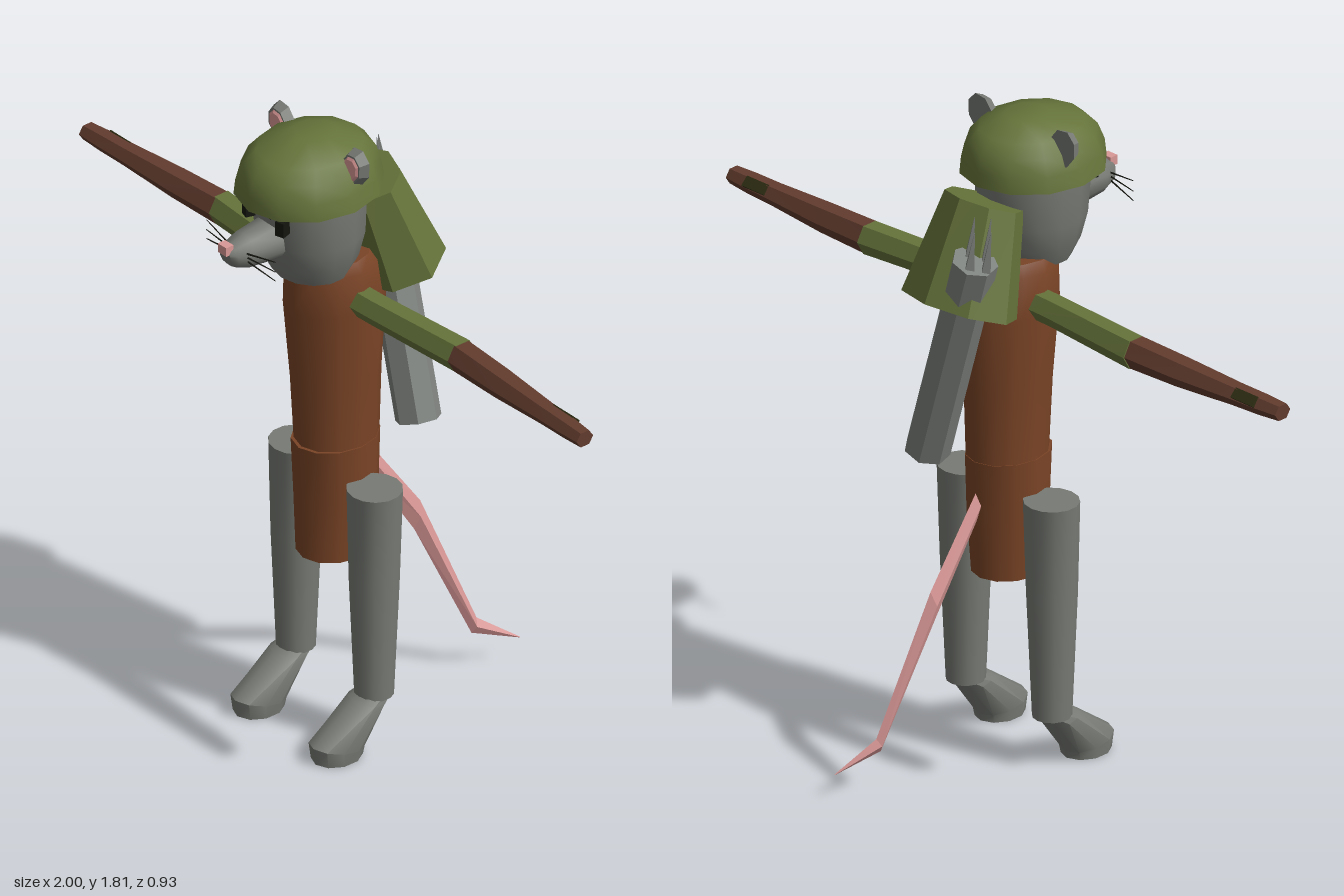
import * as THREE from 'three';
import { toCreasedNormals } from 'three/addons/utils/BufferGeometryUtils.js';

const paint = (name, color) => {
  const m = new THREE.MeshStandardMaterial({ color });
  m.name = name;
  return m;
};
const V = (x, y, z) => new THREE.Vector3(x, y, z);

// Ring spanning from (z0,y0) to (z1,y1) in the side plane, with half width w around x = cx
const ring = (z0, y0, z1, y1, w, cx = 0) => ({
  c: V(cx, (y0 + y1) / 2, (z0 + z1) / 2),
  u: V(0, (y0 - y1) / 2, (z0 - z1) / 2),
  v: V(w, 0, 0),
});
// Ring across an arm
const armRing = (x, y, z, rz, ry) => ({ c: V(x, y, z), u: V(0, 0, rz), v: V(0, ry, 0) });

// Closed skin through rings; crease is the largest angle that stays smooth
function loft(rings, sides, crease) {
  const pts = [], idx = [];
  rings.forEach(({ c, u, v }) => {
    for (let i = 0; i < sides; i++) {
      const a = (i / sides) * Math.PI * 2;
      pts.push(c.clone().addScaledVector(u, Math.cos(a)).addScaledVector(v, Math.sin(a)));
    }
  });
  for (let r = 0; r < rings.length - 1; r++) {
    for (let i = 0; i < sides; i++) {
      const a = r * sides + i, b = r * sides + (i + 1) % sides;
      idx.push(a, b, a + sides, b, b + sides, a + sides);
    }
  }
  const last = (rings.length - 1) * sides;
  for (let i = 1; i < sides - 1; i++) {
    idx.push(0, i + 1, i, last, last + i, last + i + 1);
  }
  // Turn the skin outward when the rings run the other way
  let volume = 0;
  for (let i = 0; i < idx.length; i += 3) {
    volume += pts[idx[i]].dot(pts[idx[i + 1]].clone().cross(pts[idx[i + 2]]));
  }
  if (volume < 0) idx.reverse();
  const g = new THREE.BufferGeometry().setFromPoints(pts);
  g.setIndex(idx);
  return toCreasedNormals(g, crease);
}

export function createModel() {
  const group = new THREE.Group();
  const grey = paint('grey fur', 0x777a74);
  const steel = paint('quiver grey', 0x7f837f);
  const olive = paint('olive cloth', 0x65733a);
  const brown = paint('brown tunic', 0x7a4426);
  const leather = paint('dark leather', 0x623c2e);
  const pink = paint('pink skin', 0xd99896);
  const black = paint('black', 0x15150f);
  const patch = paint('dark olive', 0x2e2d12);
  const SMOOTH = 0.9, FLAT = 0.05;

  const add = (name, geo, mat) => {
    const m = new THREE.Mesh(geo, mat);
    m.name = name;
    group.add(m);
    return m;
  };
  // Straight rod between two points
  const rod = (name, a, b, r0, r1, sides, mat, flat = true) => {
    const g = new THREE.CylinderGeometry(r1, r0, a.distanceTo(b), sides);
    const m = add(name, flat ? toCreasedNormals(g, FLAT) : g, mat);
    m.position.copy(a).lerp(b, 0.5);
    m.quaternion.setFromUnitVectors(V(0, 1, 0), b.clone().sub(a).normalize());
    return m;
  };

  // Head, helmet and snout
  add('head', loft([
    ring(0.263, 1.40, 0.067, 1.40, 0.11), ring(0.29, 1.45, 0.04, 1.45, 0.132),
    ring(0.312, 1.52, 0.02, 1.52, 0.147), ring(0.33, 1.66, 0.01, 1.66, 0.15),
  ], 14, SMOOTH), grey);
  add('helmet', loft([
    ring(0.375, 1.645, -0.035, 1.65, 0.186), ring(0.373, 1.69, -0.03, 1.69, 0.175),
    ring(0.354, 1.737, -0.018, 1.737, 0.157), ring(0.316, 1.77, 0.015, 1.77, 0.13),
    ring(0.21, 1.803, 0.09, 1.803, 0.055),
  ], 12, SMOOTH), olive);
  add('snout', loft([
    ring(0.29, 1.60, 0.29, 1.48, 0.062), ring(0.39, 1.585, 0.40, 1.49, 0.054),
    ring(0.44, 1.57, 0.435, 1.503, 0.038), ring(0.455, 1.56, 0.452, 1.52, 0.022),
  ], 10, SMOOTH), grey);
  const nose = add('nose', new THREE.BoxGeometry(0.034, 0.026, 0.025), pink);
  nose.position.set(0, 1.563, 0.452);

  // Tunic body and skirt
  add('torso', loft([
    ring(0.205, 1.43, -0.01, 1.43, 0.105), ring(0.22, 1.40, -0.035, 1.40, 0.122),
    ring(0.226, 1.28, -0.06, 1.28, 0.123), ring(0.208, 1.05, -0.05, 1.05, 0.104),
    ring(0.19, 0.78, -0.04, 0.78, 0.1),
  ], 12, SMOOTH), brown);
  add('skirt', loft([
    ring(0.205, 0.86, -0.045, 0.86, 0.104), ring(0.195, 0.70, -0.038, 0.70, 0.104),
    ring(0.19, 0.52, -0.025, 0.52, 0.094),
  ], 12, SMOOTH), brown);

  // Hood hanging behind the neck
  add('hood', loft([
    ring(0.08, 1.57, -0.10, 1.64, 0.115), ring(0.025, 1.29, -0.23, 1.38, 0.172),
  ], 8, FLAT), olive);

  // Quiver slung across the back, with arrow points
  const low = V(0.114, 0.88, -0.105), high = V(-0.1, 1.51, -0.145);
  rod('quiver', low, high, 0.062, 0.062, 7, steel);
  for (const [dx, dz, h] of [[-0.04, 0, 0.12], [-0.01, 0.03, 0.13], [0.025, 0.005, 0.12], [-0.01, -0.03, 0.11]]) {
    const base = high.clone().add(V(dx, -0.01 + dx * 0.3, dz));
    rod('arrow', base, base.clone().add(V(-0.014, h, 0.005)), 0.017, 0.001, 4, steel);
  }

  // Tail
  add('tail', loft([
    ring(-0.03, 0.785, -0.03, 0.70, 0.014, 0), ring(-0.205, 0.54, -0.185, 0.46, 0.015, 0.003),
    ring(-0.352, 0.15, -0.335, 0.11, 0.013, 0.055), ring(-0.461, 0.07, -0.459, 0.068, 0.001, 0.1),
  ], 4, FLAT), pink);

  for (const s of [1, -1]) {
    const side = s > 0 ? 'left' : 'right';

    // Ear with a pink face
    for (const [part, r, z, depth, mat] of [['Ear', 0.054, 0.14, 0.026, grey], ['InnerEar', 0.038, 0.155, 0.006, pink]]) {
      const disc = new THREE.CylinderGeometry(r * 0.78, r, depth, 8);
      disc.rotateX(Math.PI / 2).scale(0.85, 1.05, 1);
      const ear = add(side + part, toCreasedNormals(disc, FLAT), mat);
      ear.position.set(s * 0.148, 1.755, z);
      ear.rotation.z = -s * 0.35;
    }

    // Eye, brow and whiskers
    const eye = add(side + 'Eye', new THREE.BoxGeometry(0.027, 0.042, 0.03), black);
    eye.position.set(s * 0.067, 1.604, 0.316);
    eye.rotation.y = s * 0.3;
    const brow = add(side + 'Brow', new THREE.BoxGeometry(0.048, 0.009, 0.03), black);
    brow.position.set(s * 0.063, 1.638, 0.322);
    brow.rotation.set(0, s * 0.3, s * 0.12);
    for (const [y0, y1] of [[1.55, 1.565], [1.54, 1.535], [1.53, 1.508]]) {
      rod(side + 'Whisker', V(s * 0.035, y0, 0.415), V(s * 0.138, y1, 0.40), 0.003, 0.0015, 4, black);
    }

    // Arm: sleeve, leather glove and back patch
    add(side + 'Sleeve', loft([
      armRing(s * 0.08, 1.31, 0.085, 0.044, 0.042), armRing(s * 0.17, 1.31, 0.082, 0.044, 0.042),
      armRing(s * 0.485, 1.307, 0.058, 0.046, 0.046),
    ], 6, FLAT), olive);
    add(side + 'Glove', loft([
      armRing(s * 0.48, 1.307, 0.06, 0.045, 0.045), armRing(s * 0.65, 1.305, 0.065, 0.044, 0.04),
      armRing(s * 0.84, 1.305, 0.072, 0.035, 0.03), armRing(s * 0.93, 1.305, 0.075, 0.033, 0.028),
      armRing(s, 1.305, 0.078, 0.028, 0.024),
    ], 6, FLAT), leather);
    const cuff = add(side + 'GlovePatch', new THREE.BoxGeometry(0.08, 0.03, 0.009), patch);
    cuff.position.set(s * 0.89, 1.319, 0.05);
    cuff.rotation.x = 0.8;

    // Leg and foot
    const cx = s * 0.157;
    add(side + 'Leg', loft([
      ring(0.153, 0.762, 0.006, 0.762, 0.076, cx), ring(0.15, 0.50, 0.012, 0.50, 0.067, cx),
      ring(0.135, 0.143, 0.028, 0.143, 0.052, cx),
    ], 14, SMOOTH), grey);
    add(side + 'Foot', loft([
      ring(0.10, 0.163, 0.045, 0.138, 0.045, cx), ring(0.155, 0.145, 0.06, 0.12, 0.055, cx),
      ring(0.287, 0.05, 0.13, 0.02, 0.064, cx), ring(0.28, 0, 0.135, 0, 0.06, cx),
    ], 10, 0.7), grey);
  }
  return group;
}
